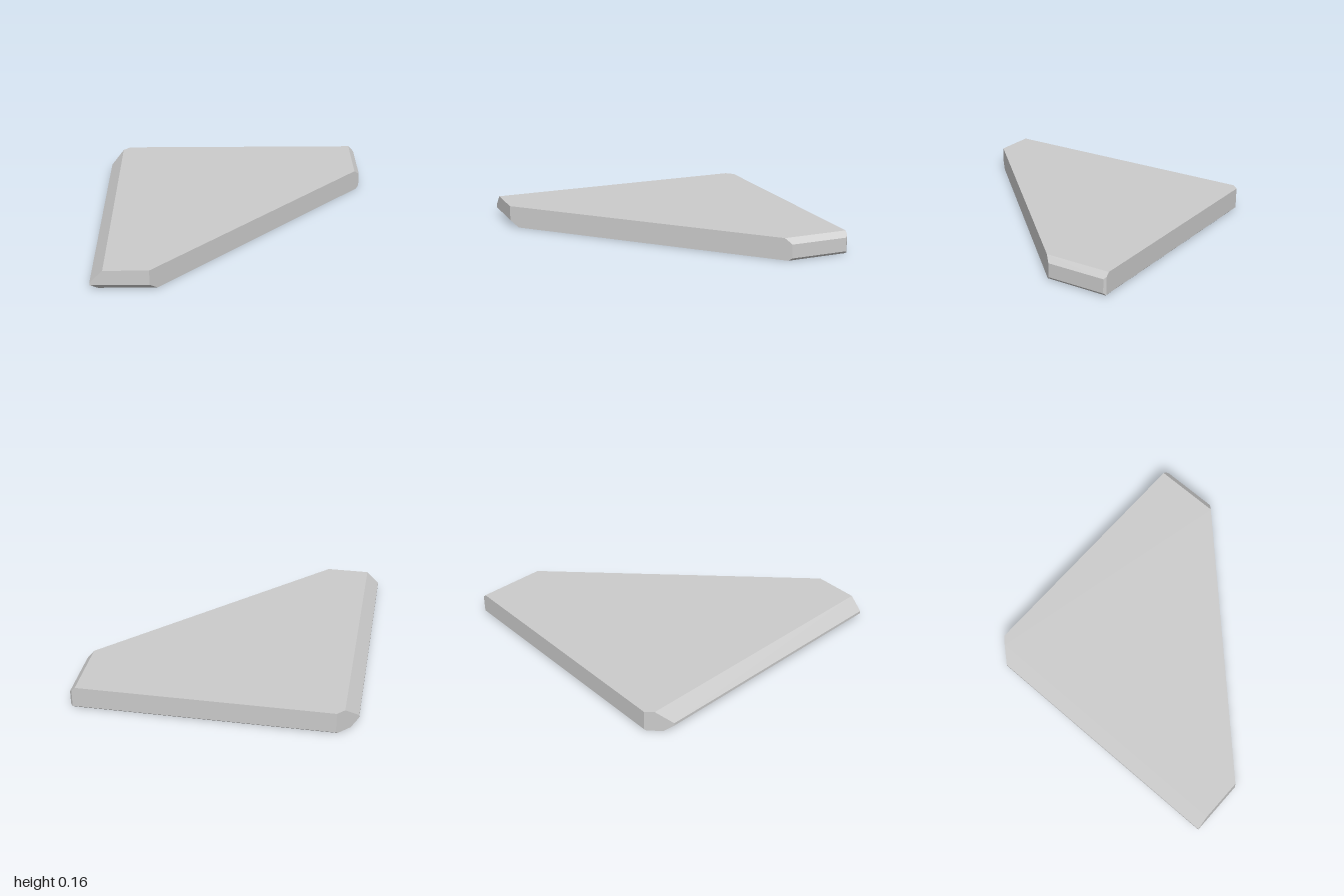
import * as THREE from 'three';
import { ConvexGeometry } from 'three/addons/geometries/ConvexGeometry.js';

// Outline of the slab at height y: each side has its own 45 degree bevels
function outline(y) {
  const left = -Math.min(0.98, 0.93 + y, 1.05 - y);
  const right = Math.min(0.98, 0.96 + y, 1.10 - y);
  const front = Math.min(1, 0.95 + y);
  const back = -Math.min(1, 0.99 + y);
  const diagonal = 0.42;                          // x + z on the long slanted side
  const clip = -1.84;                             // x + z on the cut back corner
  const nick = Math.min(1.965, right - back);     // x - z on the small back corner
  return [
    [left, front], [diagonal - front, front],
    [right, diagonal - right], [right, right - nick],
    [back + nick, back], [clip - back, back],
    [left, clip - left],
  ].map(([x, z]) => new THREE.Vector3(x, y, z));
}

export function createModel() {
  const group = new THREE.Group();
  group.name = 'bevelledTile';

  // Heights where a bevel begins or ends
  const heights = [0, 0.0075, 0.01, 0.02, 0.05, 0.07, 0.12, 0.135, 0.16];
  const slab = new THREE.Mesh(
    new ConvexGeometry(heights.flatMap(outline)),
    new THREE.MeshStandardMaterial({ color: 0xcccccc, flatShading: true })
  );
  slab.name = 'slab';
  group.add(slab);
  return group;
}
